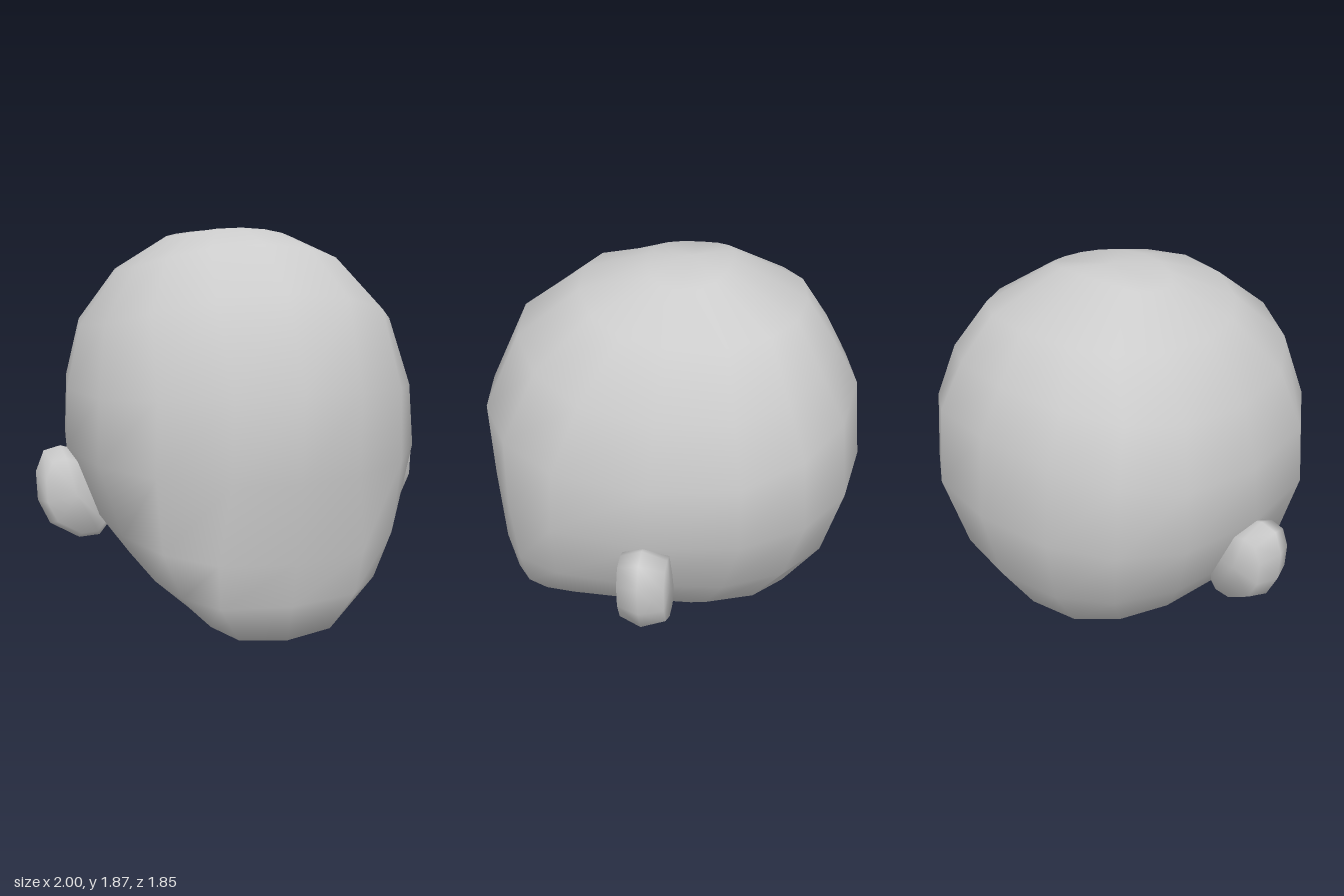
import * as THREE from 'three';

// Smooth skin through rings of points, with an optional closing point at each end
function loft(rings, start, end) {
  const n = rings[0].length, pos = rings.flat(2), index = [];
  for (let i = 0; i < rings.length - 1; i++) {
    for (let j = 0; j < n; j++) {
      const k = (j + 1) % n, a = i * n + j, b = i * n + k;
      index.push(a, a + n, b, b, a + n, b + n);
    }
  }
  let next = rings.length * n;
  const last = (rings.length - 1) * n;
  if (start) {
    pos.push(...start);
    for (let j = 0; j < n; j++) index.push(next, j, (j + 1) % n);
    next++;
  }
  if (end) {
    pos.push(...end);
    for (let j = 0; j < n; j++) index.push(next, last + (j + 1) % n, last + j);
  }
  const g = new THREE.BufferGeometry();
  g.setAttribute('position', new THREE.Float32BufferAttribute(pos, 3));
  g.setIndex(index);
  g.computeVertexNormals();
  return g;
}

// One tilted ring of the head from its front, side and back points;
// px and pz set how square its front half is
function headRing([zf, yf, w, ys, zs, zb, yb, px, pz]) {
  const ring = [];
  const power = (v, p) => Math.sign(v) * Math.abs(v) ** p;
  for (let j = 0; j < 16; j++) {
    const t = j / 16 * Math.PI * 2, s = Math.sin(t), c = Math.cos(t);
    const front = c > 0;
    ring.push([
      w * power(s, front ? px : 0.85),
      ys + ((front ? yf : yb) - ys) * c * c,
      zs + (front ? zf - zs : zs - zb) * power(c, front ? pz : 0.82),
    ]);
  }
  return ring;
}

export function createModel() {
  const group = new THREE.Group();
  const skin = new THREE.MeshStandardMaterial({ color: 0xcccccc, side: THREE.DoubleSide });
  skin.name = 'grey skin';
  const add = (name, geometry) => {
    const mesh = new THREE.Mesh(geometry, skin);
    mesh.name = name;
    group.add(mesh);
  };

  // Head, open at the neck: front z, y | side x, y, z | back z, y | front squareness
  const rows = [
    [0.12, 1.862, 0.32, 1.82, -0.08, -0.27, 1.857, 1, 0.9],
    [0.43, 1.78, 0.57, 1.66, -0.06, -0.62, 1.69, 0.9, 0.9],
    [0.73, 1.57, 0.765, 1.4, -0.04, -0.76, 1.48, 0.95, 0.85],
    [0.93, 1.16, 0.835, 1.1, -0.02, -0.88, 1.28, 1.1, 0.8],
    [0.91, 0.77, 0.85, 0.82, 0, -0.92, 0.89, 1.1, 0.75],
    [0.86, 0.41, 0.72, 0.5, 0.08, -0.83, 0.52, 0.78, 0.75],
    [0.81, 0.2, 0.57, 0.29, 0.1, -0.65, 0.24, 0.6, 0.6],
    [0.76, 0.025, 0.4, 0.14, 0.1, -0.44, 0.08, 0.62, 0.6],
    [0.4, 0, 0.28, 0.045, 0.08, -0.24, 0.02, 0.9, 0.9],
  ].map(headRing);
  add('head', loft(rows, [0, 1.865, -0.08]));

  // Ears: a rounded slab over a D-shaped outline
  const outline = [
    [0.66, 0.6], [0.66, 0.42], [0.7, 0.37], [0.8, 0.365], [0.94, 0.45], [0.995, 0.57],
    [1, 0.71], [0.96, 0.81], [0.88, 0.83], [0.79, 0.8],
  ];
  const layers = [[0.1, 0.8], [0, 1], [-0.11, 0.8]];
  for (const side of [1, -1]) {
    const path = side > 0 ? outline : [...outline].reverse();
    const rings = layers.map(([z, k]) => path.map(([x, y]) =>
      [side * (0.82 + (x - 0.82) * k), 0.6 + (y - 0.6) * k, z]));
    add(side > 0 ? 'leftEar' : 'rightEar',
      loft(rings, [side * 0.82, 0.6, 0.105], [side * 0.82, 0.6, -0.115]));
  }
  return group;
}
